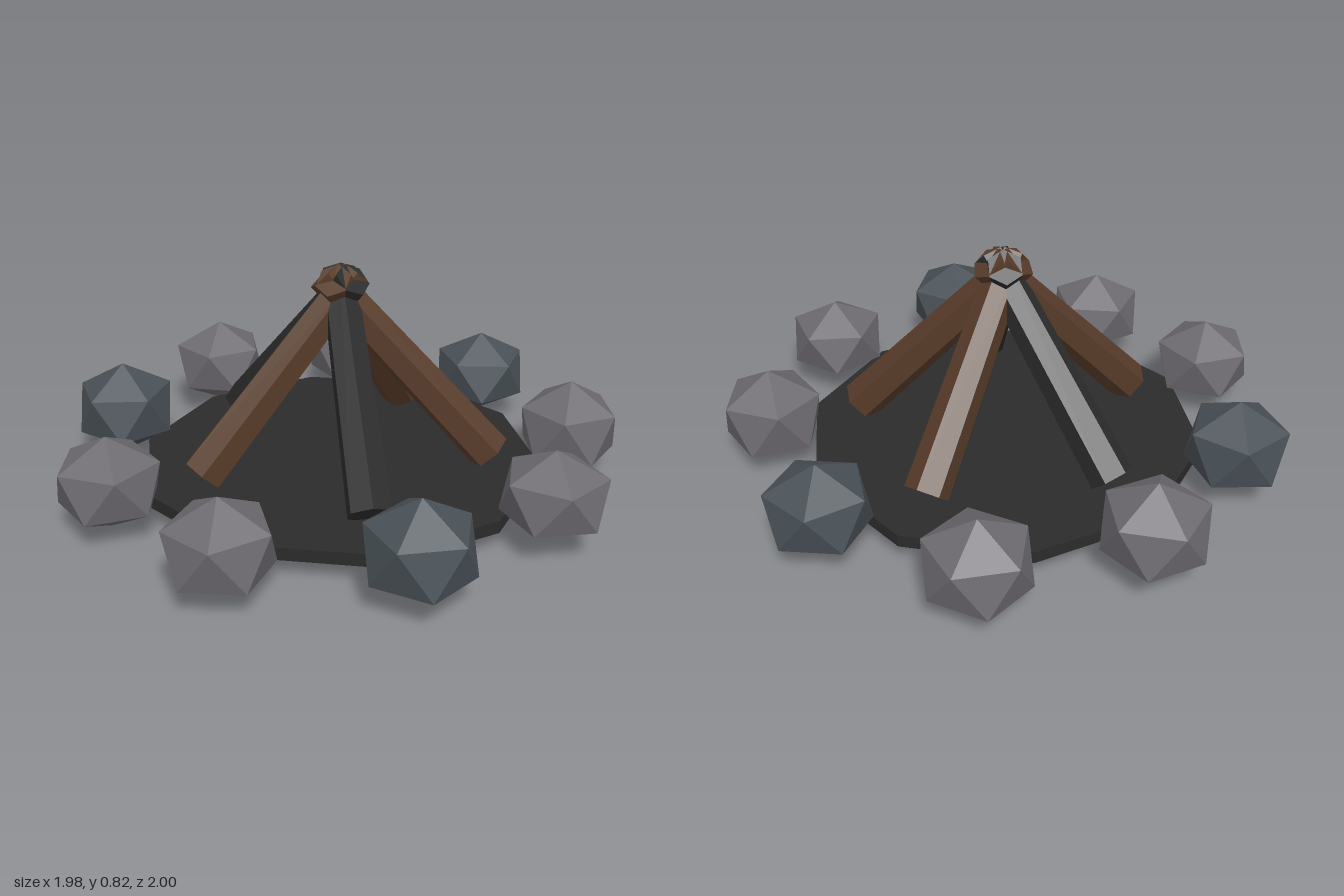
import * as THREE from 'three';

const mat = (name, color) => {
  const m = new THREE.MeshStandardMaterial({ color, flatShading: true });
  m.name = name;
  return m;
};

export function createModel() {
  const group = new THREE.Group();
  const ash = mat('charred black', 0x2b2b2b);
  const bark = mat('bark brown', 0x573b29);
  const stone = mat('stone grey', 0x6d6a70);
  const slate = mat('slate grey', 0x495157);

  const add = (name, geometry, material) => {
    const mesh = new THREE.Mesh(geometry, material);
    mesh.name = name;
    group.add(mesh);
    return mesh;
  };

  // Ten-sided ash bed
  add('ashBed', new THREE.CylinderGeometry(0.72, 0.72, 0.045, 10), ash)
    .position.set(-0.01, 0.088, -0.005);

  // Five leaning hexagonal logs that cross just above their meeting point
  const up = new THREE.Vector3(0, 1, 0);
  for (let i = 0; i < 5; i++) {
    const a = -Math.PI / 2 + i * Math.PI * 2 / 5;
    const at = (r, y) => new THREE.Vector3(-0.01 + r * Math.cos(a), y, r * Math.sin(a));
    const low = at(0.535, 0.15), high = at(-0.058, 0.78);
    const axis = high.clone().sub(low);
    const geometry = new THREE.CylinderGeometry(0.064, 0.078, axis.length(), 6);
    geometry.rotateY(Math.PI / 2 - a); // one edge runs along the top
    const log = add('log', geometry, i === 0 || i === 3 ? ash : bark);
    log.quaternion.setFromUnitVectors(up, axis.normalize());
    log.position.copy(low).add(high).multiplyScalar(0.5);
  }

  // Ring of nine stones: x, z, bottom, top, turn
  const stones = [
    [0.82, -0.01, 0.02, 0.35, 0.1],
    [0.62, 0.55, 0.0, 0.36, 0.5],
    [0.13, 0.82, 0.035, 0.35, 0.9],
    [-0.425, 0.73, 0.02, 0.365, 0.3],
    [-0.81, 0.27, 0.01, 0.345, 0.7],
    [-0.81, -0.295, 0.02, 0.35, 1.1],
    [-0.42, -0.74, 0.02, 0.37, 0.2],
    [0.13, -0.835, 0.03, 0.37, 0.6],
    [0.63, -0.56, 0.015, 0.35, 1.0],
  ];
  stones.forEach(([x, z, bottom, top, turn], i) => {
    const geometry = new THREE.IcosahedronGeometry(1, 0);
    geometry.rotateZ(Math.atan(2 / (1 + Math.sqrt(5)))); // stand on a corner
    geometry.rotateY(turn);
    geometry.scale(0.195, (top - bottom) / 2, 0.195);
    const rock = add('ringStone', geometry, i % 3 === 0 ? slate : stone);
    rock.position.set(x, (top + bottom) / 2, z);
  });

  return group;
}
